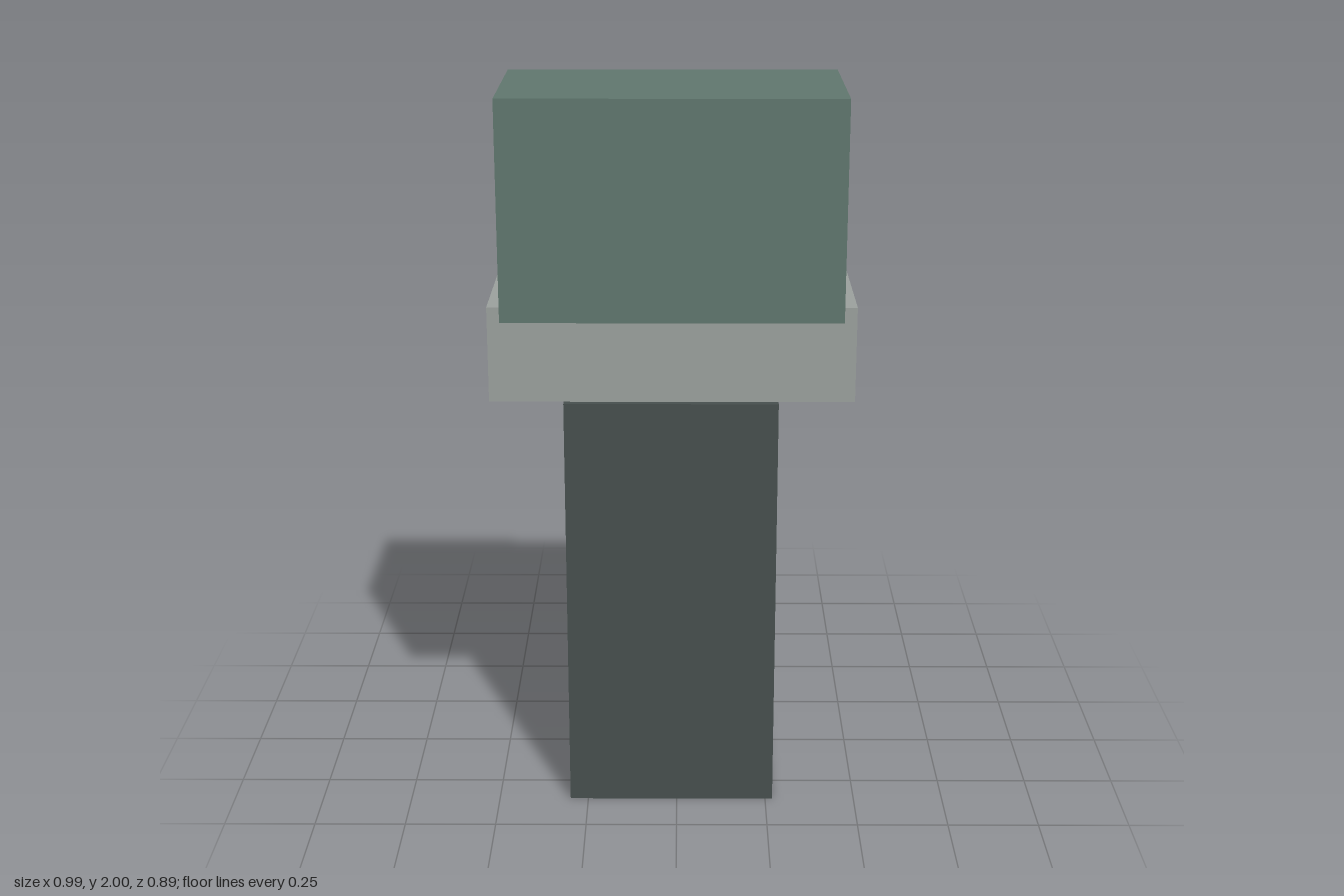
import * as THREE from 'three';

const mat = (name, color) => {
  const m = new THREE.MeshStandardMaterial({ color });
  m.name = name;
  return m;
};

export function createModel() {
  const green = mat('dull green', 0x5f766d);
  const grey = mat('light grey', 0x9a9f9c);
  const dark = mat('dark slate', 0x464e4d);
  const charcoal = mat('charcoal', 0x474c4b);

  const model = new THREE.Group();
  model.name = 'terminal';

  // Box given by its lower and upper corners
  const box = (name, material, [x0, y0, z0], [x1, y1, z1]) => {
    const mesh = new THREE.Mesh(new THREE.BoxGeometry(x1 - x0, y1 - y0, z1 - z0), material);
    mesh.position.set((x0 + x1) / 2, (y0 + y1) / 2, (z0 + z1) / 2);
    mesh.name = name;
    model.add(mesh);
  };

  box('pedestal', dark, [-0.3, 0, -0.265], [0.27, 1.176, 0.355]);
  box('desk', grey, [-0.498, 1.176, -0.447], [0.473, 1.435, 0.335]);
  box('monitor', green, [-0.455, 1.424, -0.016], [0.431, 2, 0.445]);
  box('screen', charcoal, [-0.362, 1.55, -0.052], [0.338, 1.858, -0.019]);

  // Slanted six-sided rod passing through the desk
  const top = new THREE.Vector3(0.182, 1.478, -0.046);
  const tip = new THREE.Vector3(0.474, 1.212, -0.384);
  const dir = tip.clone().sub(top);
  const rodMaterial = charcoal.clone();
  rodMaterial.name = 'rod charcoal';
  rodMaterial.flatShading = true;
  const rod = new THREE.Mesh(new THREE.CylinderGeometry(0.025, 0.025, dir.length(), 6), rodMaterial);
  rod.position.copy(top).add(tip).multiplyScalar(0.5);
  rod.quaternion.setFromUnitVectors(new THREE.Vector3(0, 1, 0), dir.normalize());
  rod.name = 'stylus';
  model.add(rod);

  return model;
}
